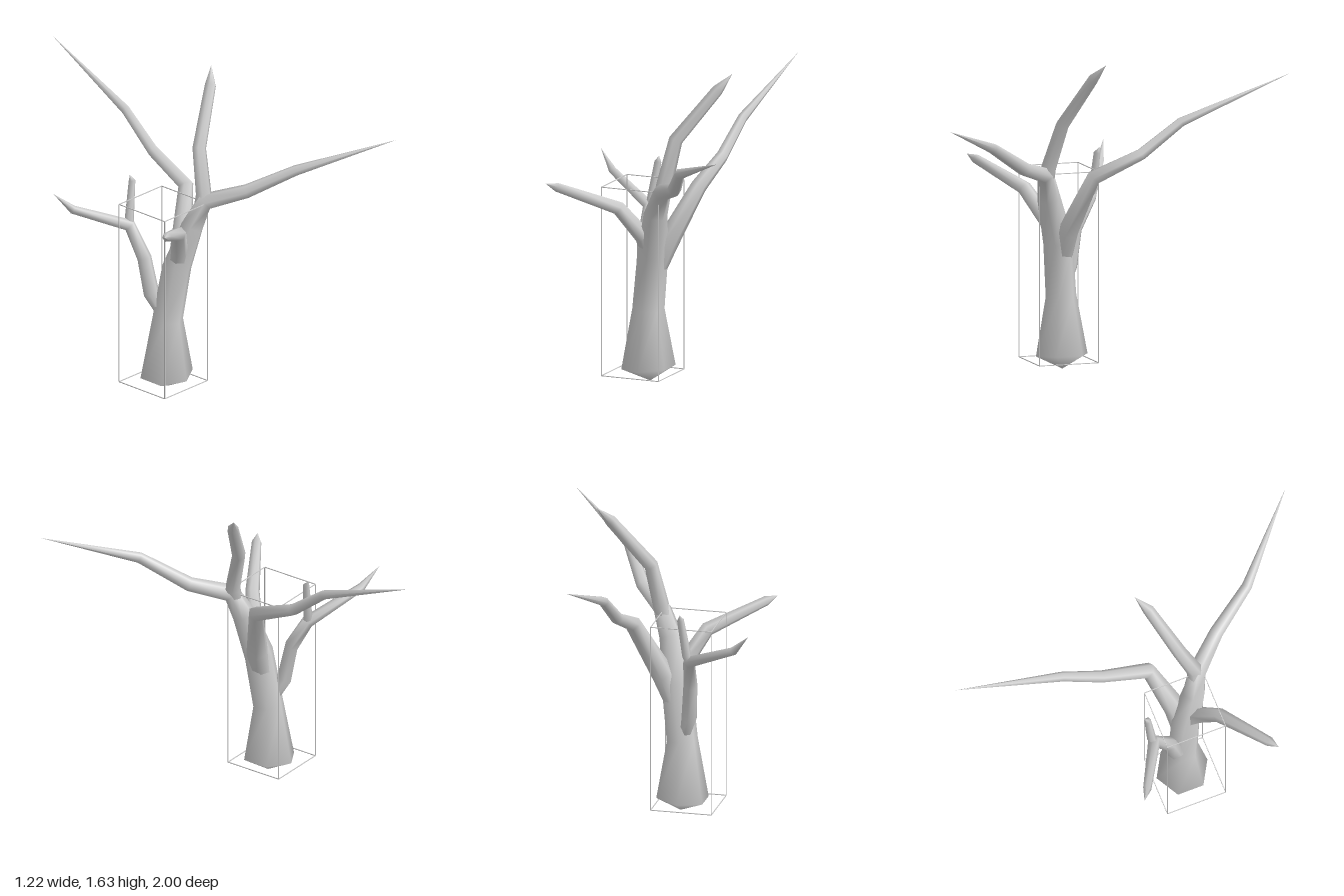
import * as THREE from 'three';

const SIDES = 6;
const material = new THREE.MeshStandardMaterial({ color: 0xcccccc });

// Loft a six-sided limb through joints given as [x, y, z, radius].
function limb(name, joints) {
  const pts = joints.map(([x, y, z]) => new THREE.Vector3(x, y, z));
  const positions = [];
  const index = [];
  let side = new THREE.Vector3(1, 0, 0);
  joints.forEach((joint, i) => {
    const before = pts[i].clone().sub(pts[Math.max(i - 1, 0)]).normalize();
    const after = pts[Math.min(i + 1, pts.length - 1)].clone().sub(pts[i]).normalize();
    const along = before.add(after).normalize();
    side = side.clone().addScaledVector(along, -side.dot(along)).normalize();
    const up = along.clone().cross(side);
    for (let k = 0; k < SIDES; k++) {
      const a = ((k + 0.5) / SIDES) * Math.PI * 2;
      const p = pts[i].clone()
        .addScaledVector(side, Math.cos(a) * joint[3])
        .addScaledVector(up, Math.sin(a) * joint[3]);
      positions.push(p.x, p.y, p.z);
      if (i === 0) continue;
      const n = (k + 1) % SIDES;
      const lo = (i - 1) * SIDES, hi = i * SIDES;
      index.push(lo + k, lo + n, hi + n, lo + k, hi + n, hi + k);
    }
  });
  const geometry = new THREE.BufferGeometry();
  geometry.setAttribute('position', new THREE.Float32BufferAttribute(positions, 3));
  geometry.setIndex(index);
  geometry.computeVertexNormals();
  const mesh = new THREE.Mesh(geometry, material);
  mesh.name = name;
  return mesh;
}

// Twelve hairline bars along the edges of a box.
function boxFrame(min, max) {
  const frame = new THREE.Group();
  frame.name = 'boundsFrame';
  const t = 0.004;
  for (let axis = 0; axis < 3; axis++) {
    const b = (axis + 1) % 3, c = (axis + 2) % 3;
    for (const eb of [min, max]) {
      for (const ec of [min, max]) {
        const size = [t, t, t], pos = [0, 0, 0];
        size[axis] = max[axis] - min[axis];
        pos[axis] = (max[axis] + min[axis]) / 2;
        pos[b] = eb[b];
        pos[c] = ec[c];
        const bar = new THREE.Mesh(new THREE.BoxGeometry(...size), material);
        bar.position.set(...pos);
        bar.name = 'frameEdge';
        frame.add(bar);
      }
    }
  }
  return frame;
}

export function createModel() {
  const tree = new THREE.Group();
  tree.name = 'bareTree';

  tree.add(
    // Trunk, running on into the long front branch
    limb('trunk', [
      [-0.16, 0, 0.12, 0], [-0.17, 0.07, 0.12, 0.14], [-0.168, 0.38, 0.125, 0.083],
      [-0.13, 0.67, 0.155, 0.08], [-0.085, 0.9, 0.22, 0.062], [-0.03, 1.03, 0.26, 0.048],
      [0.11, 1.09, 0.42, 0.037], [0.24, 1.23, 0.64, 0.028], [0.61, 1.39, 1, 0],
    ]),
    // Tallest branch, rising from the fork
    limb('topBranch', [
      [-0.07, 0.92, 0.235, 0.03], [-0.025, 1.06, 0.245, 0.043], [0.01, 1.29, 0.18, 0.037],
      [0.2, 1.55, 0.08, 0.03], [0.26, 1.63, 0.03, 0],
    ]),
    // Long branch to the back
    limb('backBranch', [
      [-0.15, 0.5, 0.13, 0.04], [-0.07, 0.72, 0.125, 0.06], [0.07, 1.02, 0.03, 0.042],
      [0.09, 1.13, -0.22, 0.032], [0.11, 1.29, -0.43, 0.026], [0.165, 1.52, -1, 0],
    ]),
    // Front branch to the right
    limb('frontSideBranch', [
      [-0.13, 0.62, 0.15, 0.04], [-0.16, 0.77, 0.2, 0.045], [-0.26, 0.93, 0.29, 0.038],
      [-0.53, 1.05, 0.46, 0.025], [-0.58, 1.07, 0.49, 0],
    ]),
    // Back branch to the right, with its upright twig
    limb('backSideBranch', [
      [-0.19, 0.42, 0.1, 0.03], [-0.22, 0.52, 0.06, 0.042], [-0.235, 0.71, 0.025, 0.038],
      [-0.25, 0.87, -0.065, 0.033], [-0.52, 1, -0.21, 0.022], [-0.61, 1.1, -0.26, 0],
    ]),
    limb('twig', [
      [-0.25, 0.84, -0.05, 0.015], [-0.24, 0.91, -0.075, 0.024],
      [-0.21, 1.1, -0.085, 0.018], [-0.21, 1.13, -0.1, 0],
    ]),
    boxFrame([-0.36, 0.04, -0.035], [-0.04, 1.03, 0.285]),
  );
  return tree;
}
